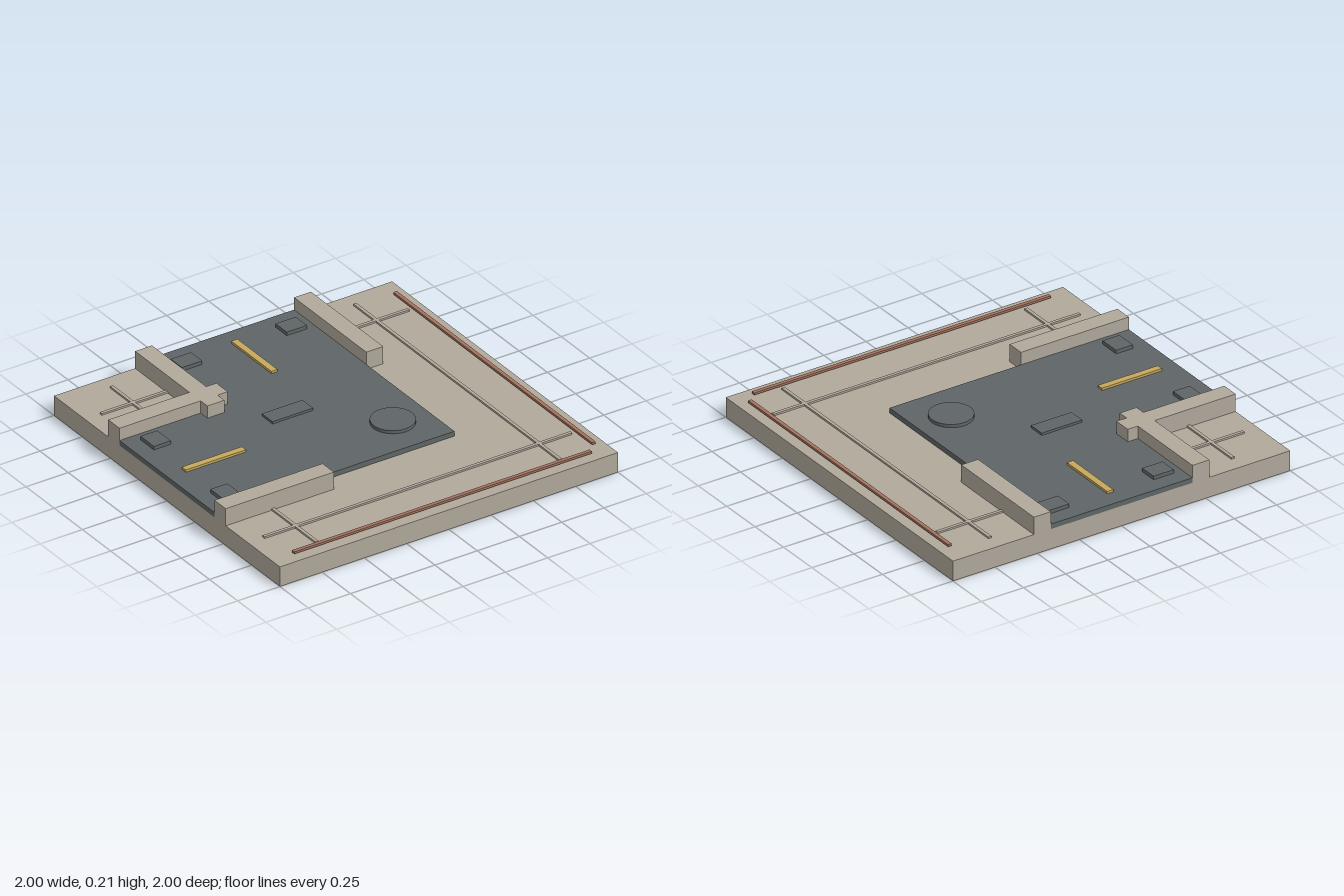
import * as THREE from 'three';

const mat = (name, color) => {
  const m = new THREE.MeshStandardMaterial({ color });
  m.name = name;
  return m;
};

export function createModel() {
  const model = new THREE.Group();
  model.name = 'roadCornerTile';
  const stone = mat('stone', 0xb0a89b);
  const asphalt = mat('asphalt', 0x5f6566);
  const yellow = mat('yellowPaint', 0xc6a85c);
  const rust = mat('rustTrim', 0xa3725f);

  const add = (name, geometry, material) => {
    const mesh = new THREE.Mesh(geometry, material);
    mesh.name = name;
    model.add(mesh);
    return mesh;
  };
  // Box given by its lower and upper limits on each axis
  const box = (name, material, [x0, x1], [y0, y1], [z0, z1]) =>
    add(name, new THREE.BoxGeometry(x1 - x0, y1 - y0, z1 - z0), material)
      .position.set((x0 + x1) / 2, (y0 + y1) / 2, (z0 + z1) / 2);
  // The tile is symmetric about its diagonal: swap x and z for the twin
  const pair = (name, material, x, y, z) => {
    box(name, material, x, y, z);
    box(name + 'Twin', material, z, y, x);
  };

  const ground = 0.112, road = 0.14;
  box('baseSlab', stone, [-1, 1], [0, ground], [-1, 1]);

  // L-shaped roadway, drawn in x and -z, then laid flat
  const outline = [[-1, -0.42], [0.42, -0.42], [0.42, 1], [-0.42, 1], [-0.42, 0.42], [-1, 0.42]];
  const roadShape = new THREE.Shape(outline.map(([x, y]) => new THREE.Vector2(x, y)));
  const roadGeometry = new THREE.ExtrudeGeometry(roadShape, { depth: road - ground, bevelEnabled: false });
  roadGeometry.rotateX(-Math.PI / 2);
  add('roadway', roadGeometry, asphalt).position.y = ground;

  // Curbs: crossing pair at the inner corner, single ones on the outer sides
  const curbY = [ground, 0.21];
  pair('innerCurb', stone, [-0.52, -0.42], curbY, [-1, -0.36]);
  pair('outerCurb', stone, [0.42, 0.52], curbY, [-1, -0.36]);

  // Raised pavement seams
  const seamY = [ground, 0.122];
  pair('outerSeam', stone, [0.711, 0.729], seamY, [-0.91, 0.91]);
  pair('innerSeamBack', stone, [-0.729, -0.711], seamY, [-0.91, -0.52]);
  pair('innerSeamFront', stone, [-0.729, -0.711], seamY, [0.52, 0.91]);

  // Edge trim and lane marks
  pair('edgeTrim', rust, [0.927, 0.948], [0.121, 0.133], [-0.88, 0.88]);
  pair('laneMark', yellow, [-0.018, 0.018], [road, 0.153], [-0.9, -0.545]);

  // Drain covers beside the curbs
  for (const [x0, x1] of [[-0.37, -0.25], [0.25, 0.37]]) {
    pair('drainCover', asphalt, [x0, x1], [road, 0.16], [-0.91, -0.81]);
  }

  // Repair patch and manhole cover
  box('repairPatch', asphalt, [-0.285, -0.045], [road, 0.153], [-0.23, -0.135]);
  add('manholeCover', new THREE.CylinderGeometry(0.114, 0.114, 0.018, 32), asphalt)
    .position.set(0.217, road + 0.009, 0.178);

  return model;
}
